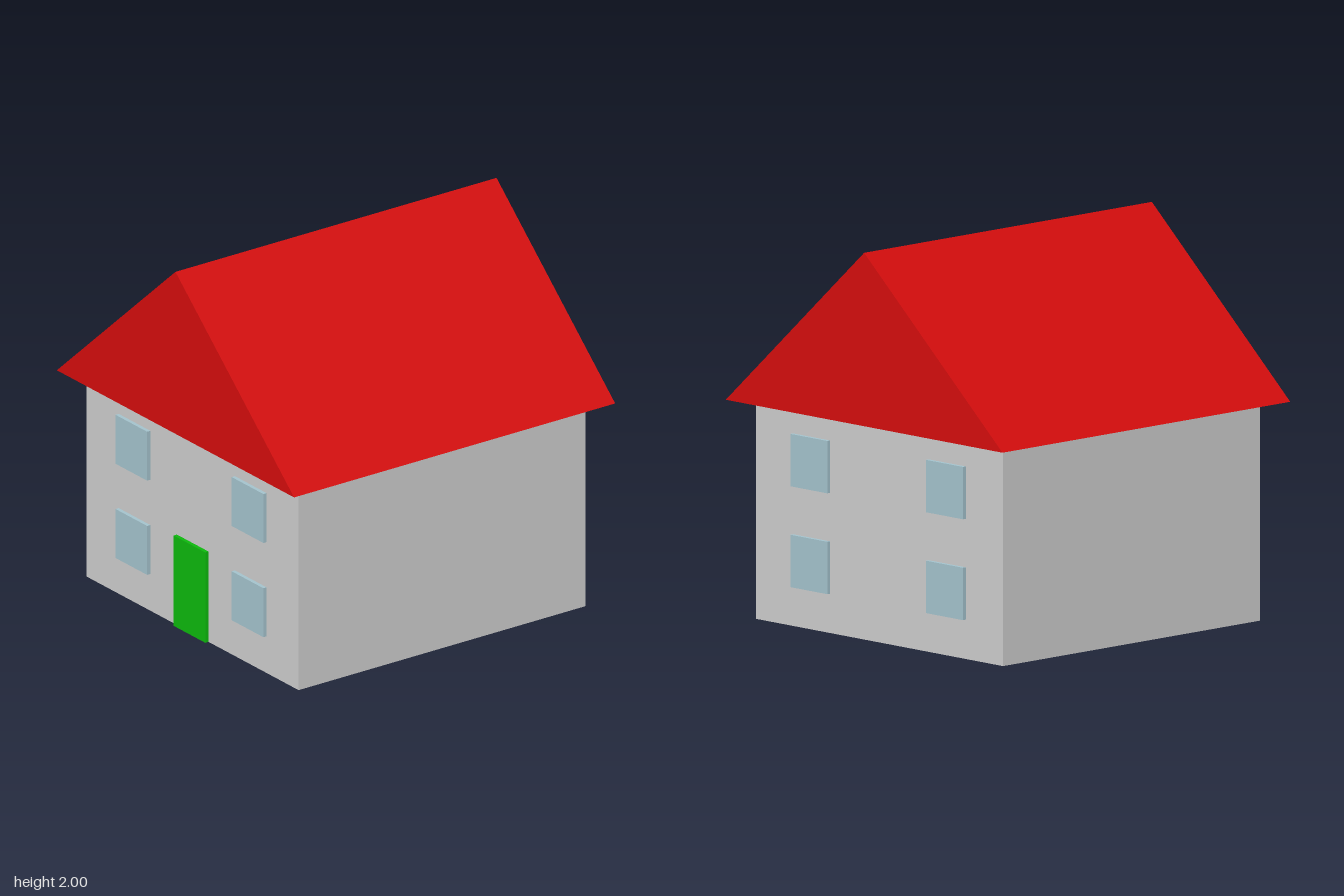
import * as THREE from 'three';

const WALL = 0.893;      // half width and depth of the walls
const EAVES = 1.116;     // height where the roof begins
const PROUD = 0.02;      // how far windows and door stand out
const WINDOW = 0.267;

const material = (name, color) => {
  const m = new THREE.MeshStandardMaterial({ color });
  m.name = name;
  return m;
};

export function createModel() {
  const house = new THREE.Group();
  house.name = 'house';
  const wallGrey = material('wallGrey', 0xcccccc);
  const roofRed = material('roofRed', 0xd40d0d);
  const glassBlue = material('glassBlue', 0xa3c2cc);
  const doorGreen = material('doorGreen', 0x0db80d);

  const add = (name, geometry, mat, x, y, z) => {
    const mesh = new THREE.Mesh(geometry, mat);
    mesh.name = name;
    mesh.position.set(x, y, z);
    house.add(mesh);
  };

  // Walls
  add('walls', new THREE.BoxGeometry(2 * WALL, EAVES, 2 * WALL), wallGrey, 0, EAVES / 2, 0);

  // Gabled roof, a solid prism overhanging all four walls
  const gable = new THREE.Shape([
    new THREE.Vector2(-1, EAVES),
    new THREE.Vector2(1, EAVES),
    new THREE.Vector2(0, 2),
  ]);
  add('roof', new THREE.ExtrudeGeometry(gable, { depth: 2, bevelEnabled: false }), roofRed, 0, 0, -1);

  // Four windows on the front and four on the back
  const pane = new THREE.BoxGeometry(WINDOW, WINDOW, PROUD);
  for (const [face, side] of [['front', 1], ['back', -1]])
    for (const [floor, y] of [['Lower', 0.334], ['Upper', 0.848]])
      for (const [hand, x] of [['Left', 0.49], ['Right', -0.49]])
        add(`${face}${floor}${hand}Window`, pane, glassBlue, x, y, side * (WALL + PROUD / 2));

  // Front door
  add('door', new THREE.BoxGeometry(0.267, 0.493, PROUD), doorGreen, 0, 0.2465, WALL + PROUD / 2);

  return house;
}
